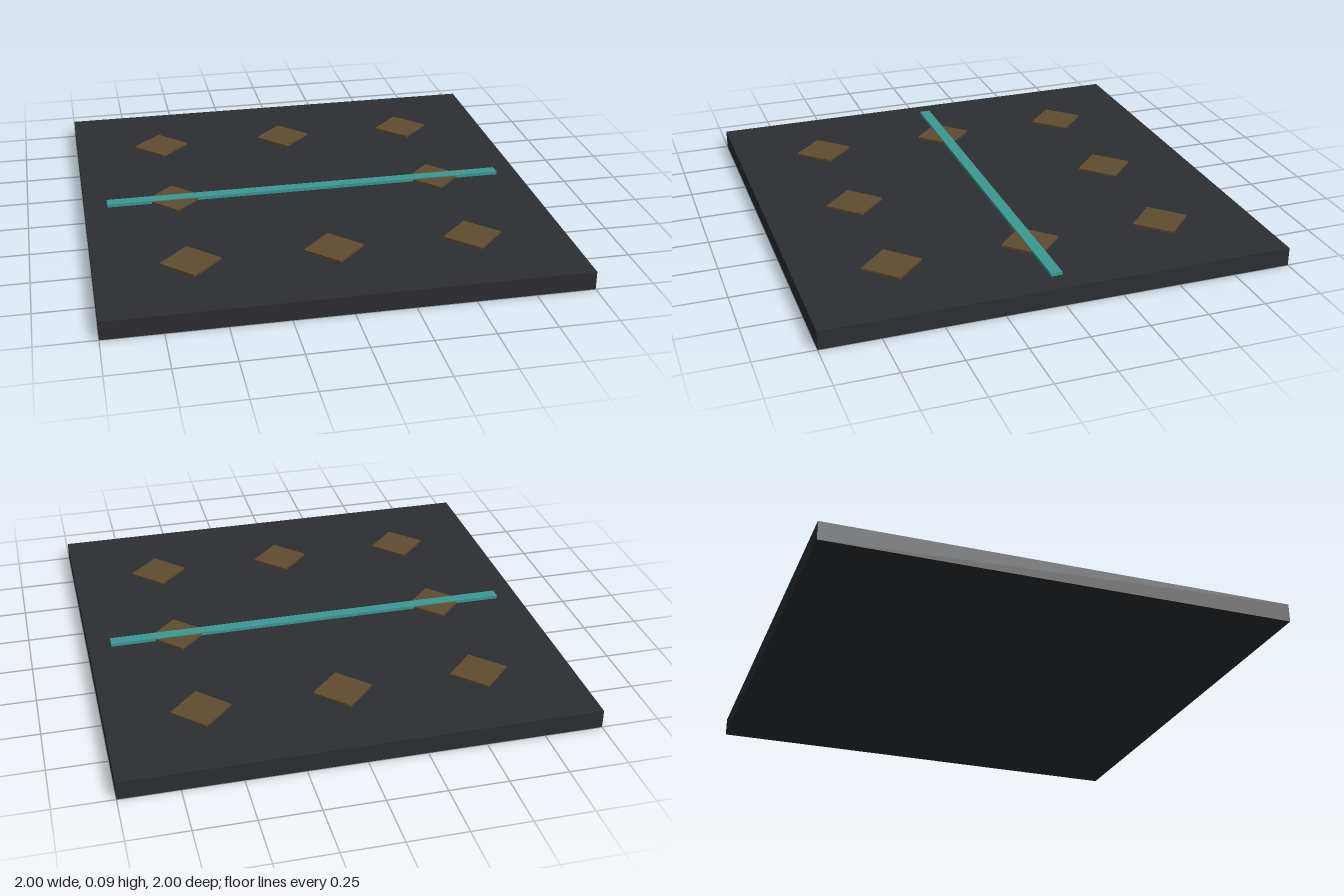
import * as THREE from 'three';

const SLAB_TOP = 0.08;

function addBox(parent, name, size, position, color) {
  const mesh = new THREE.Mesh(
    new THREE.BoxGeometry(...size),
    new THREE.MeshStandardMaterial({ color })
  );
  mesh.name = name;
  mesh.position.set(...position);
  parent.add(mesh);
  return mesh;
}

export function createModel() {
  const model = new THREE.Group();
  model.name = 'floorTile';

  // Square base slab
  addBox(model, 'slab', [2, SLAB_TOP, 2], [0, SLAB_TOP / 2, 0], 0x2d2e33);

  // Ring of eight raised diamond studs, leaving the centre empty
  const studs = new THREE.Group();
  studs.name = 'diamondStuds';
  model.add(studs);
  for (const x of [-0.6, 0, 0.6]) {
    for (const z of [-0.6, 0, 0.6]) {
      if (x === 0 && z === 0) continue;
      const stud = addBox(studs, 'diamondStud', [0.18, 0.02, 0.18], [x, SLAB_TOP, z], 0x5f4d30);
      stud.rotation.y = Math.PI / 4;
    }
  }

  // Inlaid strip across the middle
  addBox(model, 'inlayStrip', [1.8, 0.024, 0.05], [0, SLAB_TOP + 0.002, 0], 0x3a9a92);

  return model;
}
